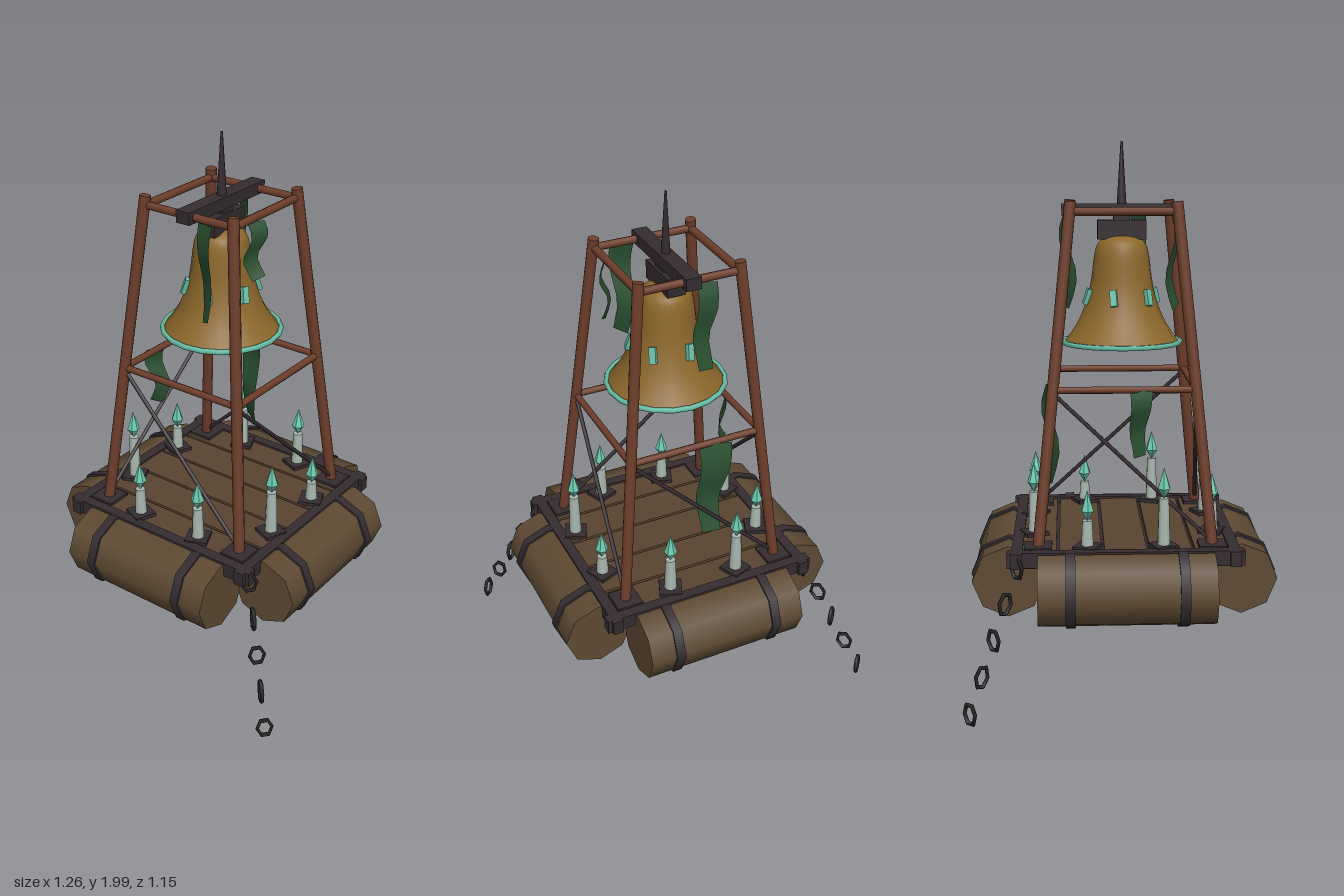
import * as THREE from 'three';

const paint = (name, color, extra = {}) => Object.assign(new THREE.MeshStandardMaterial({ color, ...extra }), { name });

export function createModel() {
  const root = new THREE.Group();
  root.name = 'bellBuoy';
  const barrelWood = paint('barrel wood', 0x5e4a33);
  const plankWood = paint('plank wood', 0x5a4431);
  const iron = paint('dark iron', 0x352c2f);
  const rust = paint('rusty steel', 0x6e3e2b);
  const bronze = paint('bronze', 0x8c672b, { side: THREE.DoubleSide });
  const verdigris = paint('verdigris', 0x68bfa6);
  const flameTeal = paint('flame teal', 0x6cc9ae, { flatShading: true });
  const wax = paint('pale wax', 0xaab9af);
  const weed = paint('seaweed', 0x2b5132, { side: THREE.DoubleSide });
  const chainIron = paint('chain iron', 0x262425);

  const add = (name, geo, mat, x = 0, y = 0, z = 0, parent = root) => {
    const m = new THREE.Mesh(geo, mat);
    m.name = name;
    m.position.set(x, y, z);
    parent.add(m);
    return m;
  };
  const box = (name, w, h, d, mat, x, y, z, parent) => add(name, new THREE.BoxGeometry(w, h, d), mat, x, y, z, parent);
  // Round bar between two points
  const bar = (name, a, b, r, mat, sides = 8, parent = root) => {
    const p = new THREE.Vector3(...a), q = new THREE.Vector3(...b);
    const dir = q.clone().sub(p);
    const m = add(name, new THREE.CylinderGeometry(r, r, dir.length(), sides), mat, 0, 0, 0, parent);
    m.position.copy(p).add(q).multiplyScalar(0.5);
    m.quaternion.setFromUnitVectors(new THREE.Vector3(0, 1, 0), dir.normalize());
    return m;
  };

  // Four sides, each turned a quarter: float barrel, deck rail, leg and bracing
  const foot = 0.315, mid = 0.258, top = 0.19;
  for (let i = 0; i < 4; i++) {
    const side = new THREE.Group();
    side.name = 'side' + (i + 1);
    side.rotation.y = i * Math.PI / 2;
    root.add(side);

    add('barrel', new THREE.CylinderGeometry(0.132, 0.132, 0.63, 8), barrelWood, 0, 0.428, 0.425, side).rotation.z = Math.PI / 2;
    for (const x of [-0.2, 0.2])
      add('barrelBand', new THREE.CylinderGeometry(0.14, 0.14, 0.035, 8), iron, x, 0.428, 0.425, side).rotation.z = Math.PI / 2;

    box('deckRail', 0.85, 0.055, 0.04, iron, 0, 0.535, 0.39, side);
    box('footPlate', 0.1, 0.012, 0.1, iron, foot, 0.56, foot, side);

    bar('leg', [foot, 0.555, foot], [top, 1.785, top], 0.021, rust, 8, side);
    bar('topRail', [-top, 1.75, top], [top, 1.75, top], 0.015, rust, 8, side);
    bar('middleRail', [-mid, 1.12, mid], [mid, 1.12, mid], 0.013, rust, 8, side);
    bar('brace', [foot, 0.57, foot], [-mid, 1.11, mid], 0.008, iron, 6, side);
  }

  // Deck
  box('deckBase', 0.78, 0.03, 0.78, plankWood, 0, 0.515, 0);
  for (let i = -2; i <= 2; i++) {
    box('plank', 0.76, 0.025, 0.152, plankWood, 0, 0.542, i * 0.163);
    if (i < 2) box('plankGap', 0.76, 0.008, 0.012, iron, 0, 0.534, (i + 0.5) * 0.163);
  }

  // Candles on tilted square plates, set in a ring
  const candleTops = [0.735, 0.69, 0.67, 0.74, 0.66, 0.72, 0.70, 0.64];
  const flameProfile = [[0, 0], [0.025, 0.038], [0.013, 0.075], [0, 0.115]].map(p => new THREE.Vector2(...p));
  candleTops.forEach((h, i) => {
    const a = (i + 0.5) * Math.PI / 4;
    const candle = new THREE.Group();
    candle.name = 'candle' + (i + 1);
    candle.position.set(0.36 * Math.cos(a), 0, 0.36 * Math.sin(a));
    candle.rotation.y = -a;
    root.add(candle);
    box('candlePlate', 0.085, 0.014, 0.085, iron, 0, 0.561, 0, candle);
    add('candleStick', new THREE.CylinderGeometry(0.019, 0.024, h - 0.565, 8), wax, 0, (h + 0.565) / 2, 0, candle);
    add('flame', new THREE.LatheGeometry(flameProfile, 6), flameTeal, 0, h - 0.003, 0, candle);
  });

  // Bell with rim, patches and clapper
  const bellCurve = new THREE.SplineCurve([
    [0.222, 1.255], [0.195, 1.29], [0.158, 1.35], [0.128, 1.43], [0.113, 1.5],
    [0.103, 1.58], [0.088, 1.63], [0.05, 1.655], [0, 1.66]].map(p => new THREE.Vector2(...p)));
  const bellPoints = bellCurve.getPoints(20);
  bellPoints[20].x = 0;
  add('bell', new THREE.LatheGeometry(bellPoints, 20), bronze);
  add('bellRim', new THREE.TorusGeometry(0.22, 0.01, 6, 20), verdigris, 0, 1.264, 0).rotation.x = Math.PI / 2;
  for (let i = 0; i < 6; i++) {
    const a = (15 + i * 60) * Math.PI / 180;
    const patch = box('verdigrisPatch', 0.025, 0.06, 0.018, verdigris, 0.133 * Math.cos(a), 1.435, 0.133 * Math.sin(a));
    patch.rotation.set(-0.3, Math.PI / 2 - a, i % 2 ? 0.15 : -0.15, 'YXZ');
  }
  bar('clapperRod', [0, 1.27, 0], [0, 1.62, 0], 0.01, iron, 6);
  add('clapper', new THREE.SphereGeometry(0.036, 10, 8), iron, 0, 1.265, 0);

  // Yoke, hanging beam and spike
  box('yoke', 0.07, 0.07, 0.18, iron, 0, 1.68, 0);
  box('hanger', 0.05, 0.05, 0.06, iron, 0, 1.73, 0);
  box('topBeam', 0.058, 0.045, 0.445, iron, 0, 1.752, 0);
  add('spike', new THREE.CylinderGeometry(0.004, 0.018, 0.23, 8), iron, 0, 1.885, 0);

  // Seaweed ribbons: wavy tapering strips; turn selects the side they hang on
  const ribbon = (turn, u0, w0, u1, w1, yTop, yLow, d) => {
    const g = new THREE.PlaneGeometry(1, 1, 1, 7), p = g.attributes.position;
    for (let i = 0; i < p.count; i++) {
      const t = 0.5 - p.getY(i), s = p.getX(i);
      const w = THREE.MathUtils.lerp(w0, w1, t), u = THREE.MathUtils.lerp(u0, u1, t);
      p.setXYZ(i, u + s * w + 0.008 * Math.sin(t * 8) * t, yTop + (yLow - yTop) * t + s * 0.02 * t,
        d + 0.018 * Math.sin(t * 7) + s * 0.03);
    }
    g.computeVertexNormals();
    add('seaweed', g, weed).rotation.y = turn * Math.PI / 2;
  };
  ribbon(0, 0.08, 0.08, 0.078, 0.045, 1.74, 1.38, 0.2);
  ribbon(1, -0.075, 0.06, -0.075, 0.035, 1.74, 1.53, 0.2);
  ribbon(2, 0.06, 0.065, 0.05, 0.04, 1.74, 1.4, 0.2);
  ribbon(2, 0.07, 0.12, 0.05, 0.06, 1.12, 0.73, 0.27);
  ribbon(3, 0.06, 0.08, 0.045, 0.04, 1.12, 0.88, 0.27);
  ribbon(0, 0.175, 0.08, 0.175, 0.065, 0.5, 0.26, 0.4);

  // Mooring chains at two opposite corners
  for (const s of [1, -1]) {
    const chain = new THREE.Group();
    chain.name = s > 0 ? 'frontChain' : 'backChain';
    if (s < 0) chain.rotation.y = Math.PI;
    root.add(chain);
    for (let i = 0; i < 5; i++) {
      const link = add('chainLink', new THREE.TorusGeometry(0.037, 0.008, 5, 6), chainIron,
        0.415 + 0.047 * i, 0.51 - 0.1155 * i, 0.39 + 0.04 * i, chain);
      link.scale.set(0.75, 1.05, 1);
      link.rotation.set(0, (i % 2 ? -1 : 1) * Math.PI / 4, i % 2 ? 0.25 : 0.1);
    }
  }
  return root;
}
